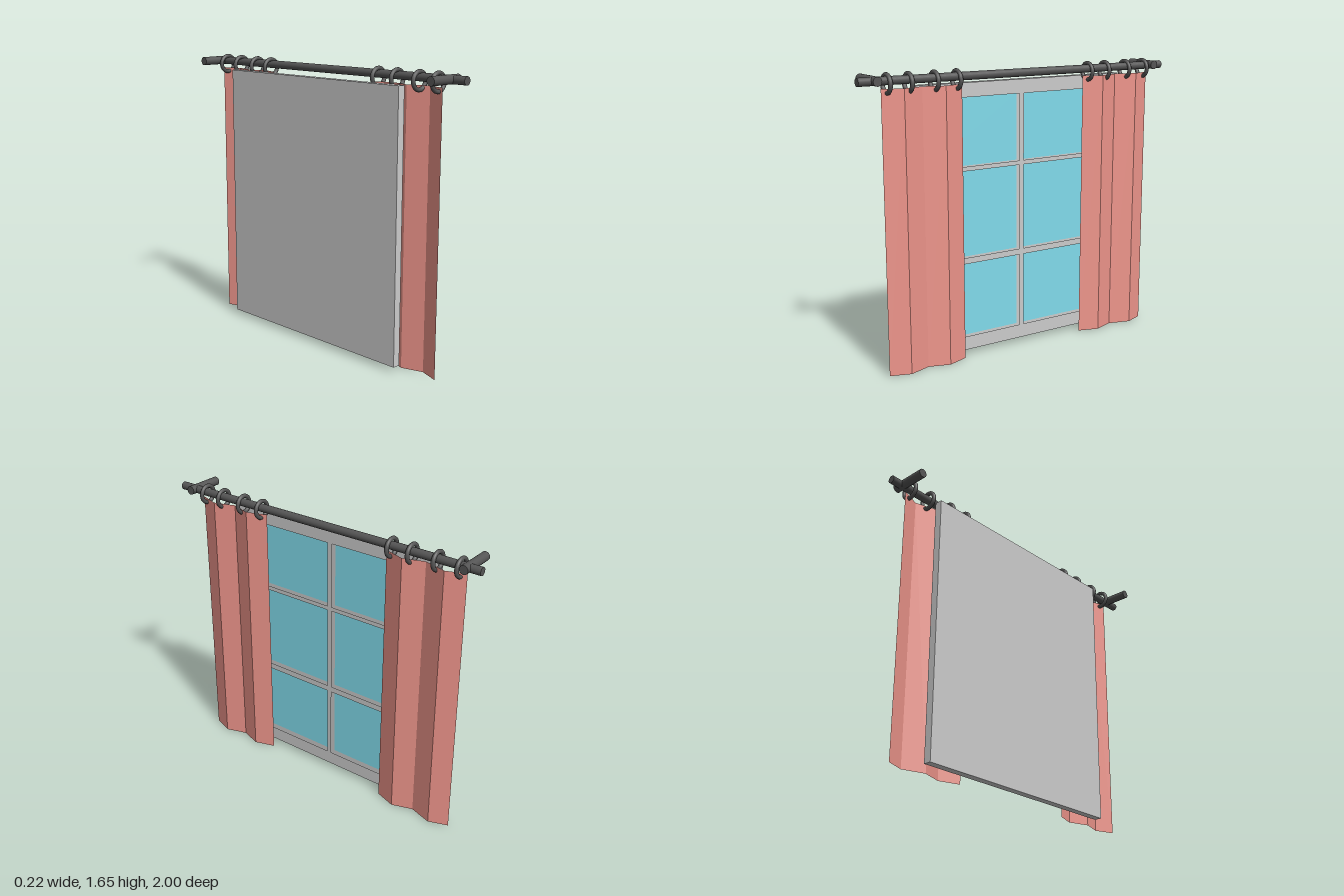
import * as THREE from 'three';

const mat = (color, extra = {}) => new THREE.MeshStandardMaterial({ color, ...extra });

export function createModel() {
  const model = new THREE.Group();
  model.name = 'curtainedWindow';

  const grey = mat(0xcccccc);
  const glass = mat(0x81dbeb);
  const metal = mat(0x555555);
  const cloth = mat(0xee958b, { side: THREE.DoubleSide, flatShading: true });

  const add = (name, geometry, material, x = 0, y = 0, z = 0, parent = model) => {
    const mesh = new THREE.Mesh(geometry, material);
    mesh.name = name;
    mesh.position.set(x, y, z);
    parent.add(mesh);
    return mesh;
  };

  // Window: lattice frame with six openings, closed by a back panel
  const zMin = -0.72, zMax = 0.64, yMin = 0.03, yMax = 1.57;
  const back = -0.045, panel = 0.008;
  const columns = [[-0.64, -0.046], [-0.018, 0.56]];
  const rows = [[0.11, 0.545], [0.58, 1.08], [1.105, 1.49]];

  const rect = (Type, z0, z1, y0, y1) => {
    const r = new Type();
    r.moveTo(-z0, y0).lineTo(-z1, y0).lineTo(-z1, y1).lineTo(-z0, y1).closePath();
    return r;
  };
  const outline = rect(THREE.Shape, zMin, zMax, yMin, yMax);
  const windowGroup = new THREE.Group();
  windowGroup.name = 'window';
  model.add(windowGroup);

  for (const [z0, z1] of columns) {
    for (const [y0, y1] of rows) {
      outline.holes.push(rect(THREE.Path, z0, z1, y0, y1));
      add('glassPane', new THREE.BoxGeometry(0.004, y1 - y0, z1 - z0), glass,
        back + panel + 0.002, (y0 + y1) / 2, (z0 + z1) / 2, windowGroup);
    }
  }
  const frame = new THREE.ExtrudeGeometry(outline, { depth: -back - panel, bevelEnabled: false });
  frame.rotateY(Math.PI / 2);
  add('windowFrame', frame, grey, back + panel, 0, 0, windowGroup);
  add('backPanel', new THREE.BoxGeometry(panel, yMax - yMin, zMax - zMin), grey,
    back + panel / 2, (yMin + yMax) / 2, (zMin + zMax) / 2, windowGroup);

  // Curtains: thin zigzag sheets, folds alternate between two depths
  const curtain = (name, folds) => {
    const sheet = new THREE.PlaneGeometry(1, 1.57, folds.length - 1, 1);
    const p = sheet.attributes.position;
    for (let i = 0; i < p.count; i++) {
      const k = i % folds.length;
      p.setXYZ(i, k % 2 ? 0.08 : 0.04, p.getY(i) + 0.785, folds[k]);
    }
    const flat = sheet.toNonIndexed();
    flat.computeVertexNormals();
    add(name, flat, cloth);
  };
  curtain('frontCurtain', [0.86, 0.745, 0.62, 0.5, 0.38]);
  curtain('rearCurtain', [-0.43, -0.55, -0.67, -0.8, -0.91]);

  // Curtain rod
  const rod = new THREE.CylinderGeometry(0.023, 0.023, 2, 24);
  rod.rotateX(Math.PI / 2);
  add('curtainRod', rod, metal, 0.058, 1.613, 0);

  // Wall brackets
  const bracket = new THREE.CylinderGeometry(0.025, 0.025, 0.215, 24);
  bracket.rotateZ(Math.PI / 2);
  for (const z of [-0.92, 0.905]) add('wallBracket', bracket, metal, -0.003, 1.615, z);

  // Curtain rings
  const ring = new THREE.TorusGeometry(0.048, 0.012, 12, 32);
  for (const z of [-0.875, -0.74, -0.588, -0.463, 0.415, 0.55, 0.703, 0.828]) {
    add('curtainRing', ring, metal, 0.043, 1.595, z);
  }

  return model;
}
